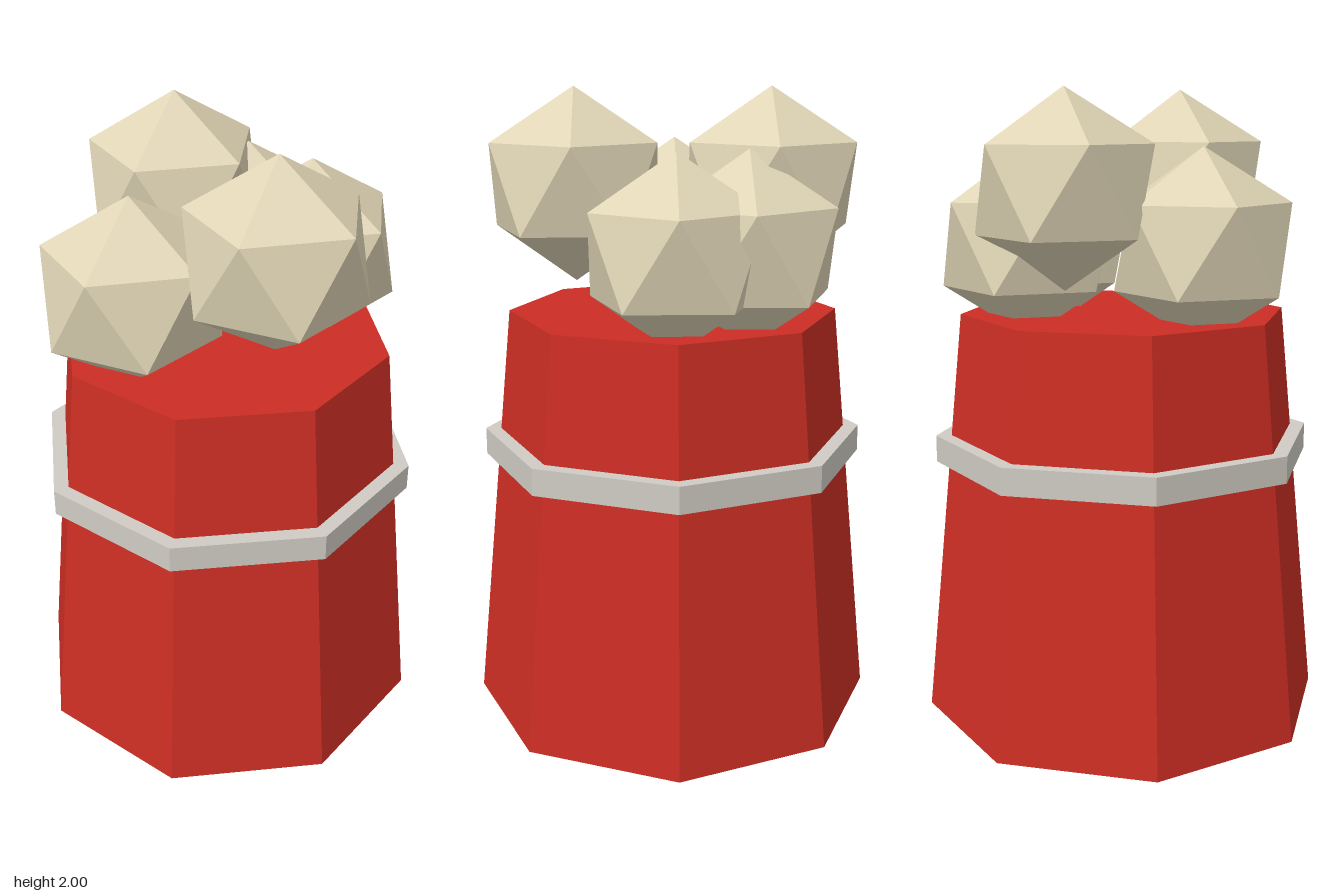
import * as THREE from 'three';

const red = new THREE.MeshStandardMaterial({ color: 0xcc2e24, flatShading: true });
red.name = 'red';
const silver = new THREE.MeshStandardMaterial({ color: 0xd0ccc4, flatShading: true });
silver.name = 'paleGrey';
const cream = new THREE.MeshStandardMaterial({ color: 0xe0d5b6, flatShading: true });
cream.name = 'cream';

// Eight-sided tapered solid standing between two heights
function octagon(name, rTop, rBottom, y0, y1, material) {
  const mesh = new THREE.Mesh(new THREE.CylinderGeometry(rTop, rBottom, y1 - y0, 8), material);
  mesh.position.y = (y0 + y1) / 2;
  mesh.name = name;
  return mesh;
}

export function createModel() {
  const model = new THREE.Group();
  model.name = 'taperedTub';

  // Tub and the band around it
  model.add(octagon('tub', 0.52, 0.65, 0, 1.305, red));
  model.add(octagon('band', 0.608, 0.608, 0.83, 0.915, silver));

  // Faceted balls, each with one corner up and an upper-ring corner toward +x
  const ball = new THREE.IcosahedronGeometry(0.3, 0);
  ball.rotateX(-Math.atan((1 + Math.sqrt(5)) / 2));
  ball.rotateY(Math.PI / 2);
  const balls = new THREE.Group();
  balls.name = 'balls';
  const centres = [
    [-0.004, 1.7, 0.304],
    [-0.004, 1.7, -0.304],
    [-0.306, 1.526, -0.015],
    [0.306, 1.526, 0],
    [0.212, 1.526, -0.22],
  ];
  centres.forEach((centre, i) => {
    const mesh = new THREE.Mesh(ball, cream);
    mesh.position.set(...centre);
    mesh.name = `ball${i + 1}`;
    balls.add(mesh);
  });
  model.add(balls);

  return model;
}
